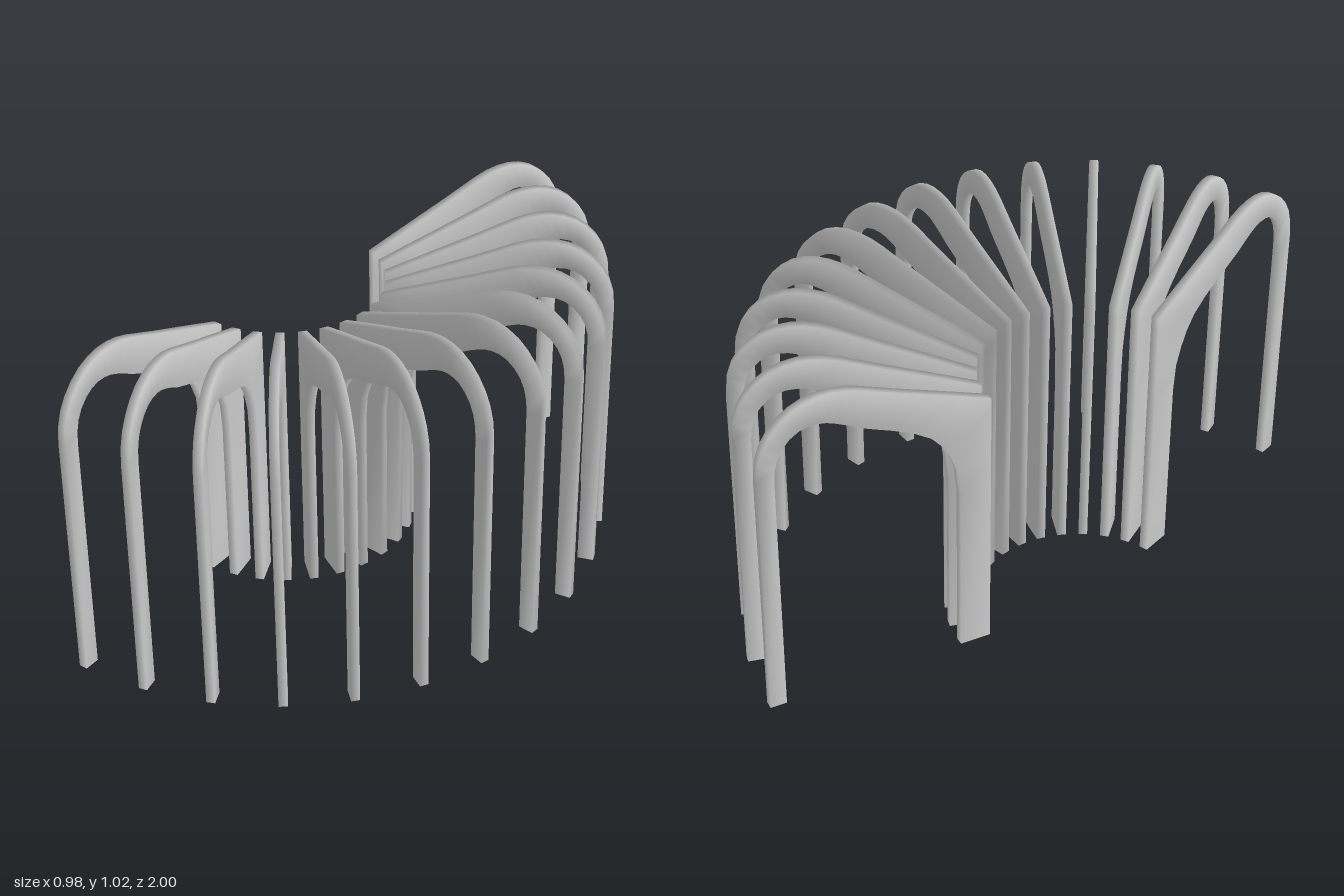
import * as THREE from 'three';

const THICKNESS = 0.027;
const RIBS = 14;
const INNER_RADIUS = 0.318;

// Rib profile, from the inner foot over the arch to the outer foot.
// Each row: outer edge (s, y), inner edge (s, y); s is the distance outwards.
const PROFILE = [
  [0, 0, 0.095, 0],
  [0, 0.55, 0.095, 0.55],
  [0, 0.66, 0.104, 0.635],
  [0, 0.75, 0.125, 0.69],
  [0, 0.81, 0.15, 0.735],
  [0, 0.85, 0.185, 0.775],
  [0.09, 0.885, 0.235, 0.808],
  [0.19, 0.923, 0.30, 0.84],
  [0.28, 0.957, 0.36, 0.865],
  [0.345, 0.983, 0.405, 0.885],
  [0.395, 1.003, 0.44, 0.905],
  [0.435, 1.015, 0.47, 0.92],
  [0.475, 1.021, 0.495, 0.93],
  [0.515, 1.021, 0.52, 0.935],
  [0.555, 1.013, 0.548, 0.935],
  [0.595, 0.996, 0.575, 0.928],
  [0.63, 0.97, 0.602, 0.911],
  [0.66, 0.937, 0.625, 0.886],
  [0.682, 0.9, 0.64, 0.858],
  [0.697, 0.853, 0.649, 0.823],
  [0.702, 0.8, 0.652, 0.785],
  [0.702, 0, 0.652, 0],
];

// Loft a four-cornered section along the profile, with capped feet
function ribGeometry() {
  const h = THICKNESS / 2;
  const positions = [];
  const index = [];
  const addRing = ([ox, oy, ix, iy]) =>
    positions.push(ox, oy, h, ix, iy, h, ix, iy, -h, ox, oy, -h);
  const quad = (a, b, c, d) => index.push(a, b, c, a, c, d);

  PROFILE.forEach(addRing);
  for (let i = 0; i < PROFILE.length - 1; i++) {
    for (let j = 0; j < 4; j++) {
      const k = (j + 1) % 4;
      quad(i * 4 + j, i * 4 + k, i * 4 + 4 + k, i * 4 + 4 + j);
    }
  }
  // Caps use their own vertices so the feet stay sharp
  const n = PROFILE.length * 4;
  addRing(PROFILE[0]);
  addRing(PROFILE[PROFILE.length - 1]);
  quad(n, n + 3, n + 2, n + 1);
  quad(n + 4, n + 5, n + 6, n + 7);

  const geometry = new THREE.BufferGeometry();
  geometry.setAttribute('position', new THREE.Float32BufferAttribute(positions, 3));
  geometry.setIndex(index);
  geometry.computeVertexNormals();
  return geometry;
}

export function createModel() {
  const group = new THREE.Group();
  group.name = 'ribbedBench';
  const material = new THREE.MeshStandardMaterial({ color: 0xcccccc });
  const geometry = ribGeometry();
  geometry.translate(INNER_RADIUS, 0, 0);

  // Ribs fanned around a common centre, 12 degrees apart
  for (let i = 0; i < RIBS; i++) {
    const rib = new THREE.Mesh(geometry, material);
    rib.name = `archRib${i + 1}`;
    rib.position.set(-0.534, 0, -0.007);
    rib.rotation.y = -THREE.MathUtils.degToRad(-76.1 + 12 * i);
    group.add(rib);
  }
  return group;
}
